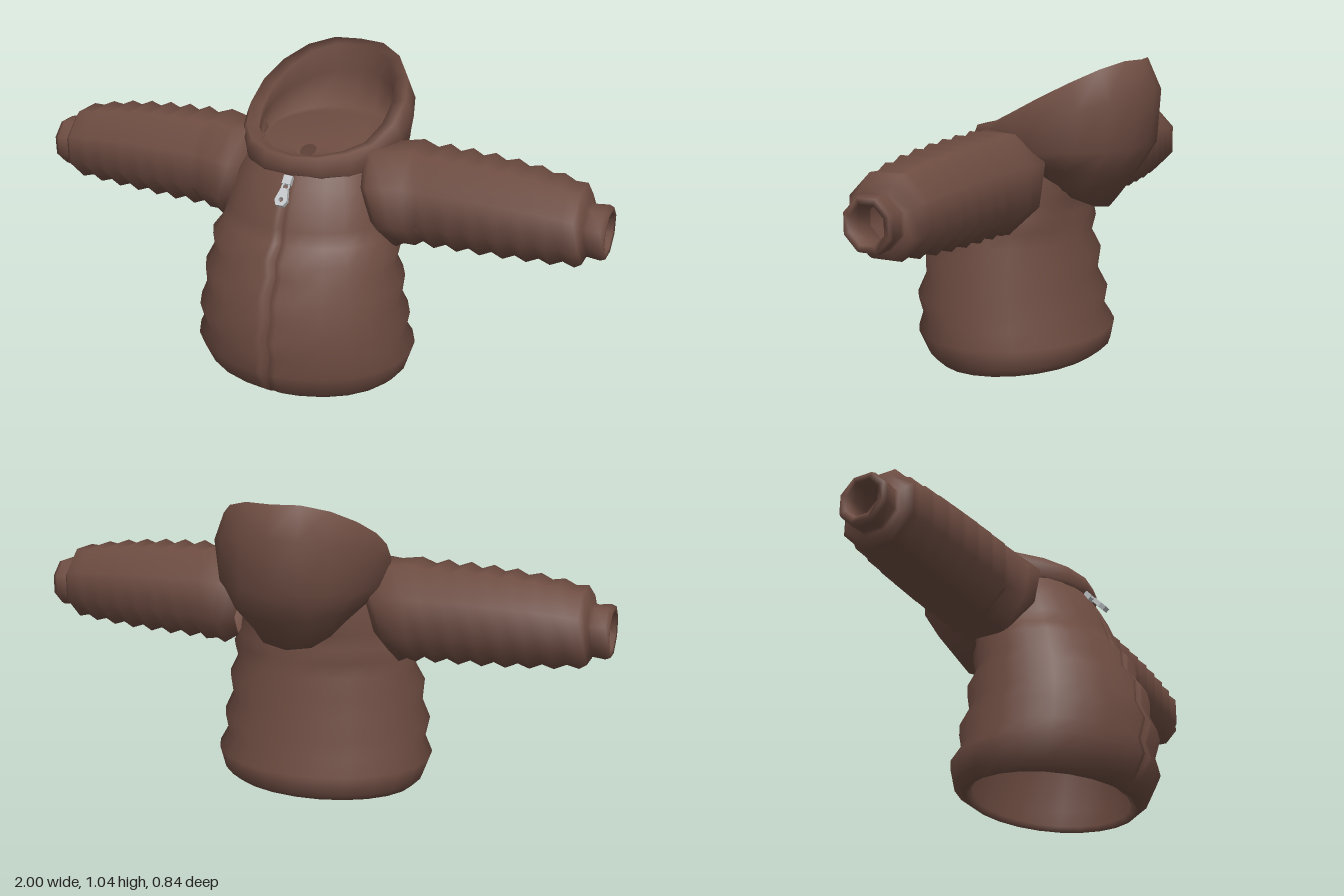
import * as THREE from 'three';

// Skin closed rings of [x, y, z] points; skip(x, y, z) leaves a quad open
function loft(rings, skip = () => false) {
  const n = rings[0].length, index = [];
  for (let r = 0; r < rings.length - 1; r++) {
    for (let j = 0; j < n; j++) {
      const k = (j + 1) % n;
      const q = [rings[r][j], rings[r][k], rings[r + 1][k], rings[r + 1][j]];
      const mid = [0, 1, 2].map(i => q.reduce((s, p) => s + p[i], 0) / 4);
      if (skip(...mid)) continue;
      const a = r * n + j, b = r * n + k, c = b + n, d = a + n;
      index.push(a, b, c, a, c, d);
    }
  }
  const g = new THREE.BufferGeometry();
  g.setAttribute('position', new THREE.Float32BufferAttribute(rings.flat(2), 3));
  g.setIndex(index);
  g.computeVertexNormals();
  return g;
}

// Sine with a fuller curve, for squarer cross-sections
const fullSin = (a, p) => Math.sign(Math.sin(a)) * Math.abs(Math.sin(a)) ** p;

export function createModel() {
  const group = new THREE.Group();
  const fabric = new THREE.MeshStandardMaterial({ color: 0x6d4c41, side: THREE.DoubleSide });
  fabric.name = 'brown fabric';
  const metal = new THREE.MeshStandardMaterial({ color: 0xc0c4c6, side: THREE.DoubleSide });
  metal.name = 'zip metal';
  const add = (name, geometry, material, parent = group) => {
    const mesh = new THREE.Mesh(geometry, material);
    mesh.name = name;
    parent.add(mesh);
    return mesh;
  };

  // Torso: lining down, round the hem, then quilted outside up to the neck
  // [y, half width, front z, back z, groove depth]
  const torso = [
    [0.50, 0.27, 0.29, -0.13, 0], [0.30, 0.31, 0.35, -0.15, 0], [0.08, 0.33, 0.37, -0.19, 0],
    [0.015, 0.31, 0.31, -0.17, 0], [0.0, 0.33, 0.335, -0.19, 0.01],
    [0.03, 0.36, 0.375, -0.23, 0.015], [0.11, 0.385, 0.415, -0.242, 0.02],
    [0.165, 0.357, 0.40, -0.205, 0.02], [0.23, 0.37, 0.42, -0.216, 0.02],
    [0.295, 0.342, 0.39, -0.18, 0.02], [0.37, 0.35, 0.39, -0.19, 0.02],
    [0.43, 0.32, 0.345, -0.157, 0.02], [0.485, 0.33, 0.345, -0.17, 0.02],
    [0.53, 0.297, 0.30, -0.15, 0.015], [0.58, 0.285, 0.286, -0.157, 0.012],
    [0.64, 0.27, 0.262, -0.16, 0.012], [0.70, 0.25, 0.23, -0.16, 0.01],
    [0.76, 0.22, 0.19, -0.155, 0.005], [0.79, 0.18, 0.17, -0.15, 0],
  ];
  const angles = [0, 0.045, 0.1];
  for (let i = 1; i < 24; i++) angles.push(i * Math.PI / 12);
  angles.push(2 * Math.PI - 0.1, 2 * Math.PI - 0.045);
  const torsoRings = torso.map(([y, w, zf, zb, groove]) => angles.map((a, i) => {
    const t = (1 - Math.cos(a)) / 2;
    const lift = y < 0.05 ? 0.015 * t : 0;
    const power = y > 0.5 && t > 0.5 ? 0.75 : 1;
    return [w * fullSin(a, power), y + lift, zf + (zb - zf) * t - (i === 0 ? groove : 0)];
  }));
  const armhole = (x, y, z) => Math.abs(x) > 0.15 && Math.abs(y - 0.64) < 0.065 && Math.abs(z - 0.024) < 0.07;
  add('torso', loft(torsoRings, armhole), fabric);

  // Hood: outside up from the nape, over the rolled rim, then lining down to the neck
  // [front z, front y, back z, back y, half width, rise, fullness]
  const power = p => t => t ** p;
  const rimRise = t => Math.min(1, Math.max(0.5 * t, 0.145 + 1.276 * (t - 0.285)));
  const hood = [
    [0.12, 0.73, -0.145, 0.57, 0.15, power(3), 0.8], [0.17, 0.73, -0.262, 0.55, 0.19, power(2.4), 0.75],
    [0.20, 0.735, -0.34, 0.66, 0.243, power(2), 0.8], [0.213, 0.745, -0.405, 0.765, 0.272, power(1.3), 0.9],
    [0.217, 0.775, -0.42, 0.945, 0.288, power(1.2), 1], [0.207, 0.803, -0.372, 1.042, 0.266, rimRise, 1],
    [0.175, 0.80, -0.34, 1.025, 0.222, rimRise, 1], [0.165, 0.785, -0.365, 0.93, 0.228, power(1.3), 1],
    [0.15, 0.775, -0.33, 0.80, 0.215, power(1), 0.9], [0.13, 0.785, -0.16, 0.835, 0.17, power(1), 1],
    [0.095, 0.765, 0.04, 0.79, 0.027, power(1), 1],
  ];
  const hoodRings = hood.map(([zf, yf, zb, yb, w, rise, full]) => Array.from({ length: 18 }, (_, i) => {
    const a = i * Math.PI / 9, t = (1 - Math.cos(a)) / 2;
    return [w * fullSin(a, full), yf + (yb - yf) * rise(t), zf + (zb - zf) * t];
  }));
  add('hood', loft(hoodRings), fabric);

  // Sleeves: eight-sided quilted tubes, [x, radius, centre y, centre z, lean towards the shoulder]
  const sleeve = [[0.235, 0.14, 0.655, 0.01, 0.3], [0.27, 0.176, 0.655, 0.01, 0.3], [0.315, 0.166, 0.66, 0.005, 0.2]];
  const puffs = 8;
  for (let i = 0; i < puffs; i++) {
    const t = i / (puffs - 1);
    const r = 0.174 - 0.012 * t - 0.028 * t ** 3;
    const cy = 0.664 - 0.012 * t ** 3, cz = -0.006 + 0.012 * t ** 3;
    sleeve.push([0.37 + i * 0.077, r, cy, cz, i === 0 ? 0.08 : 0]);
    if (i < puffs - 1) sleeve.push([0.408 + i * 0.077, r - 0.018, cy, cz, 0]);
  }
  for (const [x, r] of [[0.93, 0.112], [0.932, 0.087], [0.945, 0.084], [0.985, 0.088], [1.0, 0.082],
    [0.998, 0.062], [0.96, 0.056], [0.9, 0.06], [0.86, 0.1], [0.35, 0.135]]) sleeve.push([x, r, 0.643, 0.01, 0]);
  for (const s of [1, -1]) {
    const rings = sleeve.map(([x, r, cy, cz, lean]) => Array.from({ length: 8 }, (_, i) => {
      const a = (i + 0.5) * Math.PI / 4, dy = r * Math.cos(a);
      return [s * (x - lean * dy), cy + dy, cz + s * r * Math.sin(a)];
    }));
    add(s > 0 ? 'leftSleeve' : 'rightSleeve', loft(rings), fabric);
  }

  // Zip slider with a hanging pull tab
  const zip = new THREE.Group();
  zip.name = 'zipPull';
  zip.position.set(0, 0.735, 0.213);
  zip.rotation.x = -0.74;
  group.add(zip);
  add('zipSlider', new THREE.BoxGeometry(0.03, 0.03, 0.02), metal, zip).position.set(0, -0.012, 0);
  const link = add('zipLink', new THREE.TorusGeometry(0.012, 0.004, 6, 12), metal, zip);
  link.position.set(0, -0.036, 0.004);
  const tab = new THREE.Shape([[-0.012, 0], [0.012, 0], [0.022, -0.042], [0.013, -0.06], [-0.013, -0.06], [-0.022, -0.042]]
    .map(p => new THREE.Vector2(...p)).reverse());
  const hole = new THREE.Path();
  hole.absarc(0, -0.04, 0.008, 0, Math.PI * 2, true);
  tab.holes.push(hole);
  add('zipTab', new THREE.ExtrudeGeometry(tab, { depth: 0.016, bevelEnabled: false, curveSegments: 8 }), metal, zip)
    .position.set(0, -0.042, -0.006);

  return group;
}
